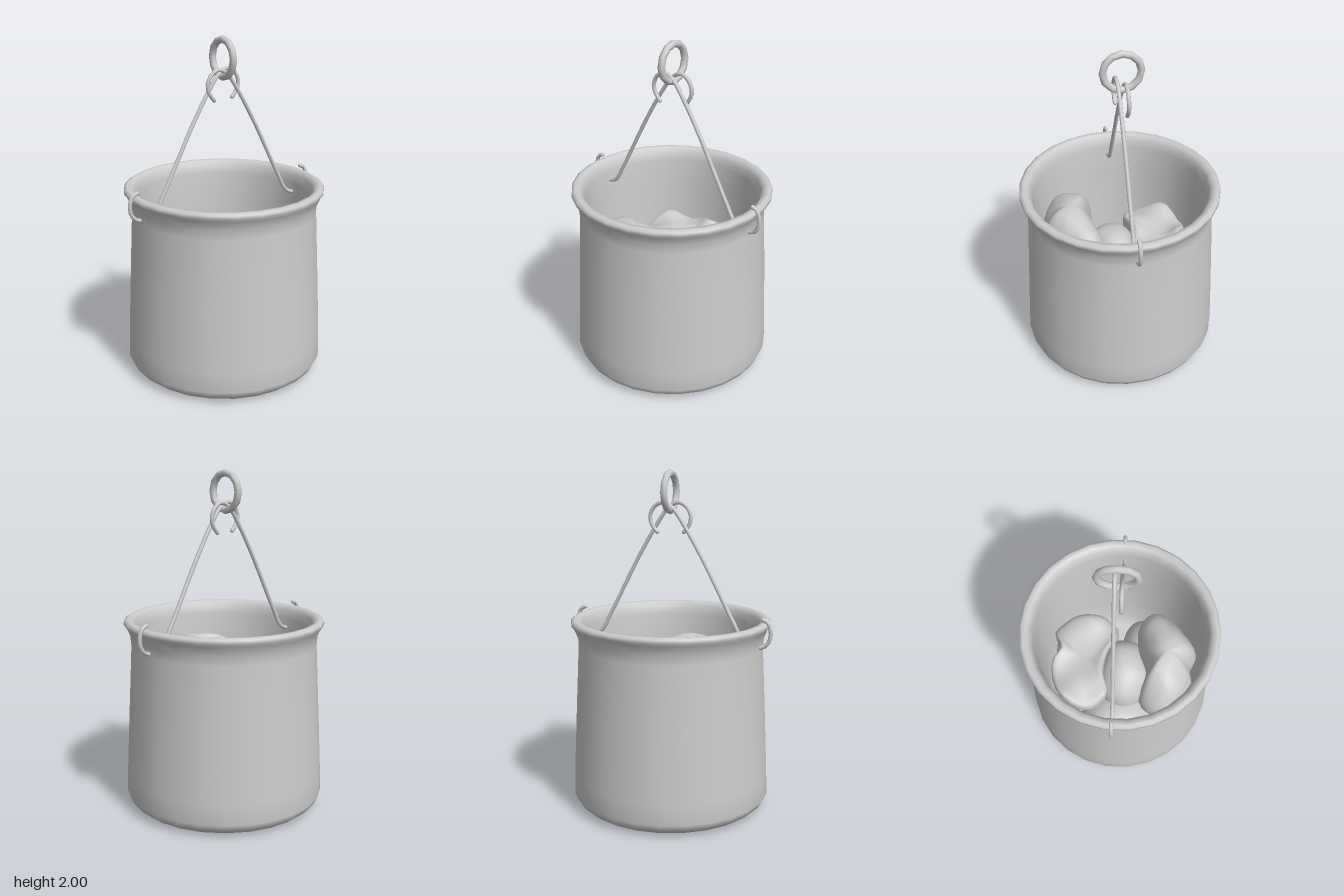
import * as THREE from 'three';
import { mergeVertices } from 'three/addons/utils/BufferGeometryUtils.js';

const metal = new THREE.MeshStandardMaterial({ color: 0xcccccc });
metal.name = 'grey';

function add(group, name, geometry) {
  const mesh = new THREE.Mesh(geometry, metal);
  mesh.name = name;
  group.add(mesh);
  return mesh;
}

// Rounded lump: a sphere stretched to a closed outline [x, z], with lobes and an optional dish on top
function lump(outline, bottom, top, dish = 0, wobble = 0.02) {
  const corners = outline.map(([x, z]) => new THREE.Vector3(x, 0, z));
  const curve = new THREE.CatmullRomCurve3(corners, true);
  const centre = new THREE.Vector3();
  corners.forEach((c) => centre.addScaledVector(c, 1 / corners.length));
  // Start the outline at the corner facing +x, so it lines up with the sphere
  const start = Math.atan2(corners[0].z - centre.z, corners[0].x - centre.x) / (2 * Math.PI);

  let geo = new THREE.SphereGeometry(1, 36, 18);
  geo.deleteAttribute('uv');
  geo.deleteAttribute('normal');
  geo = mergeVertices(geo);
  const pos = geo.attributes.position;
  for (let i = 0; i < pos.count; i++) {
    const x = pos.getX(i), y = pos.getY(i), z = pos.getZ(i);
    const r = Math.min(1, Math.hypot(x, z));
    const u = (Math.atan2(z, x) / (2 * Math.PI) - start + 2) % 1;
    const p = curve.getPoint(u).sub(centre).multiplyScalar(Math.pow(r, 0.85)).add(centre);
    let h = bottom + (top - bottom) * (y + 1) / 2;
    h += wobble * Math.sin(p.x * 19 + 1) * Math.cos(p.z * 17) * r;
    h -= dish * Math.pow(Math.max(0, y), 1.6);
    pos.setXYZ(i, p.x, h, p.z);
  }
  geo.computeVertexNormals();
  return geo;
}

export function createModel() {
  const model = new THREE.Group();
  model.name = 'cookingPot';

  // Pot: outer wall, flared rim, inner wall and floor in one profile
  const profile = [
    [0, 0], [0.5, 0.005], [0.545, 0.015], [0.575, 0.04], [0.594, 0.08], [0.59, 0.2],
    [0.57, 0.6], [0.55, 0.98], [0.555, 1.04], [0.575, 1.09], [0.592, 1.11],
    [0.59, 1.13], [0.572, 1.141], [0.545, 1.138], [0.525, 1.11], [0.514, 1.06],
    [0.505, 0.9], [0.485, 0.4], [0.47, 0.2], [0.43, 0.11], [0.38, 0.09], [0, 0.09],
  ].map(([x, y]) => new THREE.Vector2(x, y));
  add(model, 'pot', new THREE.LatheGeometry(profile, 26));

  // Two hooked handle rods, mirrored and offset in depth so they cross at the ring
  const rodPath = [
    [-0.565, 1.165], [-0.595, 1.15], [-0.613, 1.09], [-0.6, 1.035], [-0.565, 1.005],
    [-0.51, 1.005], [-0.455, 1.03], [-0.39, 1.14], [-0.2, 1.5], [-0.08, 1.7],
    [-0.02, 1.78], [0.04, 1.813], [0.09, 1.79], [0.118, 1.73], [0.105, 1.68], [0.075, 1.643],
  ];
  for (const [side, z, name] of [[1, -0.027, 'rightRod'], [-1, 0.012, 'leftRod']]) {
    const rod = new THREE.Group();
    rod.name = name;
    const points = rodPath.map(([x, y]) => new THREE.Vector3(x * side, y, z));
    const curve = new THREE.CatmullRomCurve3(points);
    add(rod, name + 'Wire', new THREE.TubeGeometry(curve, 56, 0.012, 8));
    // Closed wire ends
    for (const p of [points[0], points[points.length - 1]]) {
      add(rod, name + 'End', new THREE.SphereGeometry(0.0125, 8, 6)).position.copy(p);
    }
    model.add(rod);
  }

  // Hanging ring
  const ring = add(model, 'hangingRing', new THREE.TorusGeometry(0.107, 0.021, 8, 12));
  ring.rotation.y = Math.PI / 2;
  ring.position.set(0, 1.872, -0.012);

  // Food pieces: a lower layer on the floor, then the upper pieces
  const contents = new THREE.Group();
  contents.name = 'contents';
  model.add(contents);
  add(contents, 'lowerLeftPiece', lump([
    [-0.1, 0], [-0.14, 0.17], [-0.25, 0.26], [-0.38, 0.25], [-0.46, 0.16],
    [-0.485, 0.0], [-0.46, -0.13], [-0.36, -0.24], [-0.24, -0.23], [-0.14, -0.14],
  ], 0.08, 0.5));
  add(contents, 'lowerBackPiece', lump([
    [0.365, -0.16], [0.31, -0.02], [0.2, -0.04], [0.08, -0.1], [0.0, -0.22],
    [0.02, -0.36], [0.12, -0.43], [0.25, -0.42], [0.35, -0.31],
  ], 0.08, 0.5));
  add(contents, 'lowerFrontPiece', lump([
    [0.37, 0.2], [0.32, 0.36], [0.22, 0.43], [0.08, 0.42], [0.0, 0.3],
    [0.04, 0.12], [0.16, 0.02], [0.28, 0.03], [0.36, 0.1],
  ], 0.08, 0.52));
  add(contents, 'middlePiece', lump([
    [0.15, 0.0], [0.12, 0.13], [0.0, 0.2], [-0.14, 0.2], [-0.25, 0.12],
    [-0.28, 0.02], [-0.24, -0.08], [-0.12, -0.13], [0.02, -0.12], [0.12, -0.08],
  ], 0.25, 0.74));
  add(contents, 'upperBackPiece', lump([
    [0.27, -0.2], [0.24, -0.08], [0.14, -0.01], [0.02, -0.08], [-0.12, -0.1],
    [-0.25, -0.07], [-0.34, -0.17], [-0.33, -0.29], [-0.24, -0.39], [-0.06, -0.43],
    [0.03, -0.375], [0.14, -0.42], [0.24, -0.33],
  ], 0.4, 0.92, 0.22, 0.04));
  add(contents, 'upperFrontPiece', lump([
    [0.26, 0.22], [0.2, 0.35], [0.11, 0.41], [0.0, 0.48], [-0.1, 0.44],
    [-0.2, 0.45], [-0.33, 0.36], [-0.38, 0.24], [-0.3, 0.13], [-0.12, 0.17],
    [0.03, 0.12], [0.18, 0.12],
  ], 0.4, 0.98, 0, 0.035));
  return model;
}
